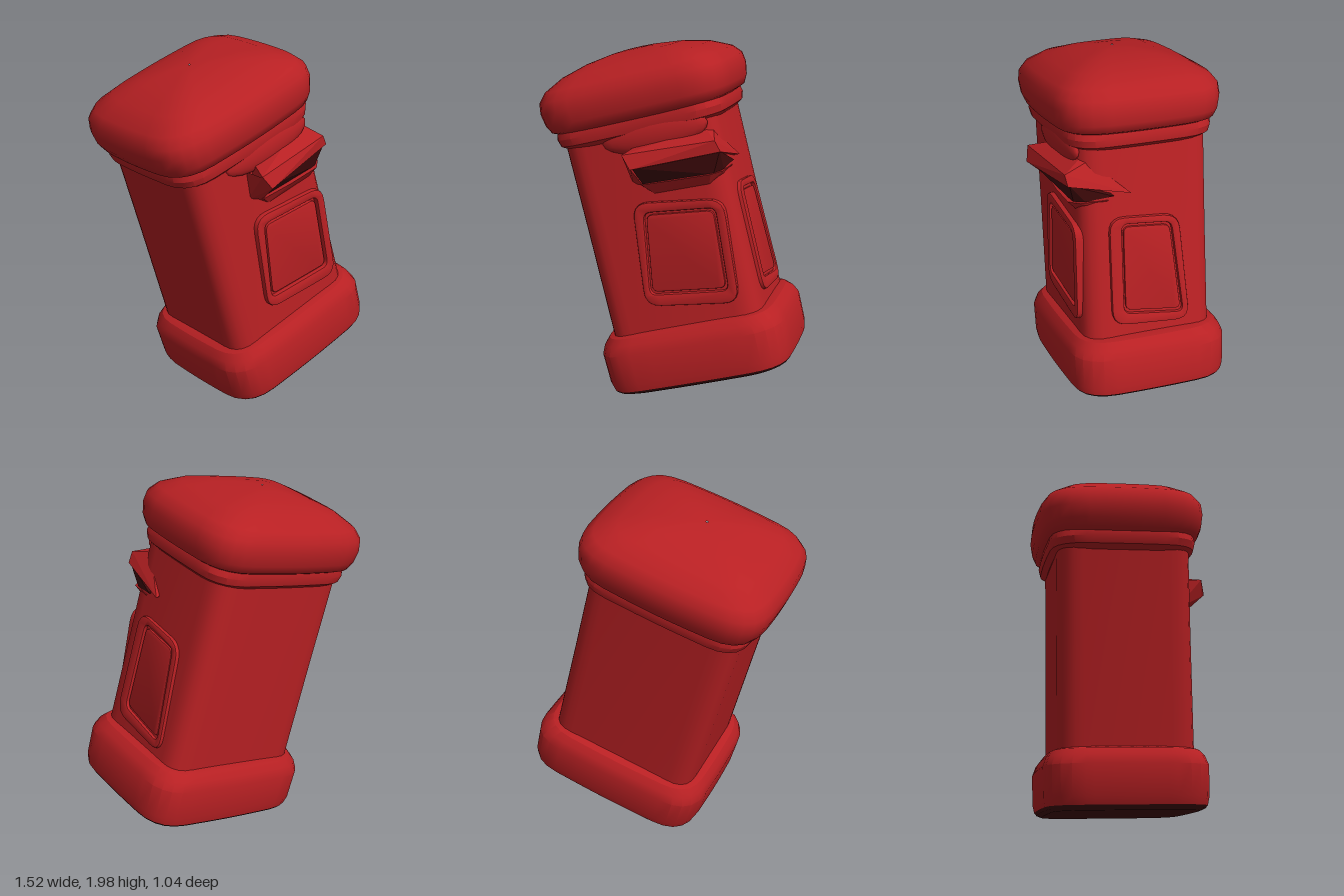
import * as THREE from 'three';
import { toCreasedNormals } from 'three/addons/utils/BufferGeometryUtils.js';
import { ConvexGeometry } from 'three/addons/geometries/ConvexGeometry.js';

const red = new THREE.MeshStandardMaterial({ color: 0xb82023 });
red.name = 'pillar red';
const dark = new THREE.MeshStandardMaterial({ color: 0x420a0b });
dark.name = 'dark recess red';

// Skewed four-sided plan shared by base, body and cap: [x, z]
const PLAN = [[0.6, 0.318], [0.45, -0.555], [-0.597, -0.335], [-0.42, 0.538]]
  .map(([x, z]) => new THREE.Vector2(x, z));

// Adds a pushed-out middle point to every edge of the plan
function bulged(amount) {
  return PLAN.flatMap((c, i) => {
    const mid = c.clone().add(PLAN[(i + 1) % 4]).multiplyScalar(0.5);
    return [c, mid.setLength(mid.length() + amount)];
  });
}

// Rounds the corners of a closed polygon
function roundCorners(corners, cut, steps = 5) {
  const out = [];
  corners.forEach((c, i) => {
    const n = corners.length;
    const toward = (o) => c.clone().add(o.clone().sub(c).setLength(cut));
    const a = toward(corners[(i + n - 1) % n]);
    const b = toward(corners[(i + 1) % n]);
    out.push(...new THREE.QuadraticBezierCurve(a, c, b).getPoints(steps));
  });
  return out;
}

function add(parent, name, geometry, material = red) {
  const mesh = new THREE.Mesh(geometry, material);
  mesh.name = name;
  parent.add(mesh);
  return mesh;
}

// Skins a rounded plan through [height, scale] levels, closed at both ends
function loft(levels, plan, crease = 0.5) {
  const n = plan.length;
  const rings = [[levels[0][0], 0.01], ...levels, [levels.at(-1)[0], 0.01]];
  const pos = [];
  const idx = [];
  rings.forEach(([y, s]) => plan.forEach((p) => pos.push(p.x * s, y, p.y * s)));
  for (let i = 0; i < rings.length - 1; i++) {
    for (let j = 0; j < n; j++) {
      const k = (j + 1) % n;
      const a = i * n + j, b = i * n + k, c = b + n, d = a + n;
      idx.push(a, b, c, a, c, d);
    }
  }
  const g = new THREE.BufferGeometry();
  g.setAttribute('position', new THREE.Float32BufferAttribute(pos, 3));
  g.setIndex(idx);
  return toCreasedNormals(g, crease);
}

// Raised frame and inner panel with a groove between, on a flat face
function framedPanel(parent, name, outer, inner, lift) {
  const vec = (list) => list.map(([x, y]) => new THREE.Vector2(x, y));
  const plate = (shape, top, bevel) => {
    const g = new THREE.ExtrudeGeometry(shape, {
      depth: 0.05 + top - bevel, bevelEnabled: true, bevelThickness: bevel,
      bevelSize: bevel, bevelOffset: -bevel, bevelSegments: 2,
    });
    return toCreasedNormals(g.translate(0, 0, -0.05), 0.7);
  };
  const hole = roundCorners(vec(inner), 0.04);
  const frame = new THREE.Shape(roundCorners(vec(outer), 0.09));
  frame.holes.push(new THREE.Path(hole));
  add(parent, name + 'Frame', plate(frame, lift, 0.01));

  const mid = hole.reduce((s, p) => s.add(p), new THREE.Vector2()).divideScalar(hole.length);
  const small = hole.map((p) => p.clone().sub(mid).multiplyScalar(0.94).add(mid));
  add(parent, name + 'Panel', plate(new THREE.Shape(small), lift - 0.008, 0.006));
}

function hull(points) {
  return new ConvexGeometry(points.map((p) => new THREE.Vector3(...p)));
}

export function createModel() {
  const root = new THREE.Group();
  root.name = 'postBox';
  const lean = new THREE.Group();
  lean.name = 'lean';
  lean.rotation.z = THREE.MathUtils.degToRad(15);
  root.add(lean);
  const box = new THREE.Group();
  box.name = 'uprightBox';
  box.position.x = 0.25;
  lean.add(box);

  // Dark underside, plinth, shaft, neck moulding and domed cap
  const soft = roundCorners(bulged(0.015), 0.2);
  add(box, 'underside', loft([[0.078, 0.89], [0.09, 0.95], [0.105, 0.975]], soft), dark);
  add(box, 'base', loft([
    [0.105, 0.975], [0.15, 0.995], [0.32, 1.0], [0.37, 0.96], [0.405, 0.9], [0.418, 0.82],
  ], soft));
  add(box, 'body', loft([[0.38, 0.838], [1.0, 0.833], [1.55, 0.833]], roundCorners(PLAN, 0.16)));
  add(box, 'neckMoulding', loft([
    [1.495, 0.82], [1.52, 0.89], [1.56, 0.91], [1.60, 0.895], [1.62, 0.88],
  ], soft));
  add(box, 'cap', loft([
    [1.59, 0.88], [1.605, 0.94], [1.65, 0.98], [1.72, 1.0], [1.78, 0.985], [1.83, 0.91],
    [1.885, 0.72], [1.925, 0.46], [1.945, 0.2], [1.949, 0.08],
  ], roundCorners(bulged(0.03), 0.21), 0.8));

  // Front face: door, hood over the slot, dark mouth, lower lip
  const front = new THREE.Group();
  front.name = 'frontFace';
  front.position.set(0.075, 0, 0.357);
  front.rotation.y = 0.215;
  box.add(front);
  framedPanel(front, 'door',
    [[-0.18, 0.565], [0.345, 0.49], [0.39, 1.07], [-0.11, 1.145]],
    [[-0.135, 0.625], [0.30, 0.57], [0.335, 1.03], [-0.06, 1.08]], 0.028);
  add(front, 'slotHood', hull([
    [0.0, 1.45, -0.03], [0.37, 1.46, -0.04], [0.41, 1.44, -0.06],
    [-0.07, 1.425, 0.13], [0.43, 1.39, 0.08],
    [-0.04, 1.34, 0.15], [0.445, 1.325, 0.07],
    [-0.04, 1.34, -0.03], [0.38, 1.33, -0.03], [0.475, 1.25, -0.27],
  ]));
  add(front, 'slotMouth', hull([
    [-0.03, 1.345, 0.135], [0.44, 1.33, 0.06], [-0.03, 1.345, -0.03], [0.38, 1.33, -0.1],
    [-0.03, 1.22, 0.0], [0.37, 1.21, 0.02], [0.42, 1.22, -0.03], [0.455, 1.24, -0.18],
  ]), dark);
  add(front, 'slotLowerLip', hull([
    [-0.06, 1.235, -0.03], [-0.03, 1.235, 0.035], [0.16, 1.225, 0.05], [0.36, 1.215, 0.05],
    [0.42, 1.215, 0.0], [0.45, 1.22, -0.15], [0.02, 1.17, 0.0], [0.33, 1.16, 0.0], [0.4, 1.17, -0.1],
  ]));
  // Cheek closing the left end of the slot
  add(front, 'slotCheek', hull([
    [-0.07, 1.42, 0.125], [-0.035, 1.34, 0.148], [-0.025, 1.235, 0.03],
    [-0.09, 1.24, -0.03], [-0.07, 1.42, -0.03], [-0.025, 1.34, -0.02],
  ]));
  // Soft swelling between hood and moulding
  const brow = add(front, 'brow', new THREE.SphereGeometry(1, 20, 12));
  brow.scale.set(0.3, 0.1, 0.05);
  brow.position.set(0.1, 1.49, -0.005);

  // Side panel
  const side = new THREE.Group();
  side.name = 'sideFace';
  side.position.set(0.437, 0, -0.1);
  side.rotation.y = 1.74;
  box.add(side);
  framedPanel(side, 'side',
    [[-0.23, 0.49], [0.22, 0.455], [0.17, 1.09], [-0.225, 1.12]],
    [[-0.16, 0.555], [0.18, 0.51], [0.125, 1.05], [-0.155, 1.075]], 0.022);

  return root;
}
